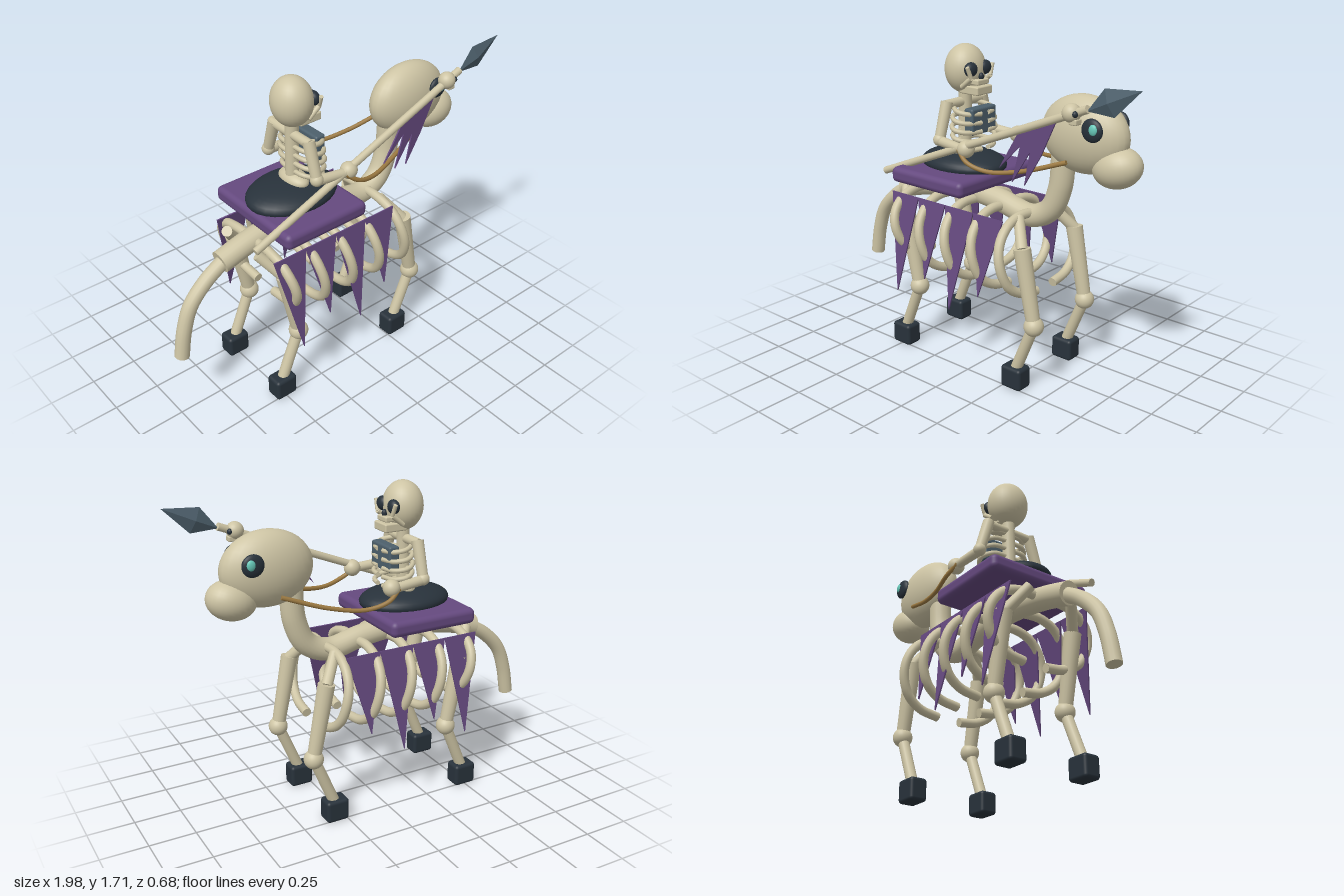
import * as THREE from 'three';
import { RoundedBoxGeometry } from 'three/addons/geometries/RoundedBoxGeometry.js';

const mat = (name, color, extra = {}) => {
  const m = new THREE.MeshStandardMaterial({ color, ...extra });
  m.name = name;
  return m;
};

export function createModel() {
  const bone = mat('bone', 0xcdc4a4);
  const purple = mat('purple cloth', 0x65497f, { side: THREE.DoubleSide });
  const dark = mat('dark leather', 0x28323b);
  const slate = mat('slate metal', 0x4d606c, { flatShading: true });
  const teal = mat('teal glow', 0x66c8b8);
  const brown = mat('brown rein', 0x9c7a42);

  const model = new THREE.Group();
  model.name = 'skeletonRider';
  const group = (name) => {
    const g = new THREE.Group();
    g.name = name;
    model.add(g);
    return g;
  };
  const V = (p) => new THREE.Vector3(...p);
  const add = (parent, name, geo, material, pos = [0, 0, 0]) => {
    const m = new THREE.Mesh(geo, material);
    m.name = name;
    m.position.set(...pos);
    parent.add(m);
    return m;
  };
  const ball = (parent, name, material, pos, rx, ry = rx, rz = rx) => {
    const m = add(parent, name, new THREE.SphereGeometry(1, 28, 20), material, pos);
    m.scale.set(rx, ry, rz);
    return m;
  };
  // straight rod between two points, radius r0 at a and r1 at b
  const rod = (parent, name, material, a, b, r0, r1 = r0) => {
    const d = V(b).sub(V(a));
    const mid = V(a).addScaledVector(d, 0.5);
    const m = add(parent, name, new THREE.CylinderGeometry(r1, r0, d.length(), 16), material, mid.toArray());
    m.quaternion.setFromUnitVectors(new THREE.Vector3(0, 1, 0), d.normalize());
    return m;
  };
  // curved tube with closed flat ends
  const tube = (parent, name, material, pts, r, seg = 28, sides = 14) => {
    const curve = new THREE.CatmullRomCurve3(pts.map(V));
    add(parent, name, new THREE.TubeGeometry(curve, seg, r, sides), material);
    for (const [t, dir] of [[0, -1], [1, 1]]) {
      const c = add(parent, name + 'End', new THREE.CircleGeometry(r, sides), material, curve.getPoint(t).toArray());
      c.quaternion.setFromUnitVectors(new THREE.Vector3(0, 0, 1), curve.getTangent(t).multiplyScalar(dir));
    }
  };
  const box = (parent, name, material, size, pos, r) =>
    add(parent, name, new RoundedBoxGeometry(...size, 3, r), material, pos);
  const plate = (parent, name, pts) =>
    add(parent, name, new THREE.ExtrudeGeometry(new THREE.Shape(pts.map((p) => new THREE.Vector2(...p))),
      { depth: 0.008, bevelEnabled: false }), purple);

  // horse spine, neck and tail
  const horse = group('horse');
  tube(horse, 'spineAndNeck', bone, [[-0.69, 0.845, 0], [-0.5, 0.895, 0], [-0.22, 0.93, 0], [0.02, 0.91, 0],
    [0.23, 0.872, 0], [0.35, 0.93, 0], [0.41, 1.06, 0], [0.425, 1.25, 0]], 0.061, 60, 20);
  tube(horse, 'tail', bone, [[-0.67, 0.845, 0], [-0.78, 0.775, 0], [-0.88, 0.67, 0], [-0.93, 0.54, 0], [-0.96, 0.38, 0]], 0.039);

  // horse head
  ball(horse, 'horseHead', bone, [0.55, 1.355, 0], 0.245, 0.195, 0.122);
  ball(horse, 'snout', bone, [0.74, 1.222, 0], 0.13, 0.102, 0.105).rotation.z = 0.25;
  for (const s of [1, -1]) {
    ball(horse, 'eyeSocket', dark, [0.665, 1.41, s * 0.112], 0.058, 0.057, 0.024);
    ball(horse, 'eyeGlow', teal, [0.68, 1.417, s * 0.127], 0.024, 0.028, 0.014);
  }

  // ribs, one pair per spine station
  [[-0.49, 0.83], [-0.305, 1], [-0.12, 1], [0.065, 1], [0.25, 1]].forEach(([x, k]) => {
    for (const s of [1, -1]) {
      const path = [[0, 0.9, 0.02], [-0.005, 0.9, 0.13], [0, 0.865, 0.23], [0.01, 0.79, 0.295], [0.03, 0.69, 0.314],
        [0.05, 0.58, 0.275], [0.065, 0.52, 0.19], [0.07, 0.498, 0.07]];
      tube(horse, 'rib', bone, path.map(([dx, y, z]) => [x + dx, 0.9 + (y - 0.9) * k, z * s]), 0.025, 30, 12);
    }
  });

  // four legs
  for (const [name, x] of [['frontLeg', 0], ['hindLeg', -0.806]]) {
    for (const s of [1, -1]) {
      const leg = group(name);
      const z = s * 0.22;
      rod(leg, 'shoulderBone', bone, [0.25 + x, 0.9, s * 0.13], [0.345 + x, 0.77, z], 0.028, 0.03);
      rod(leg, 'upperLeg', bone, [0.345 + x, 0.78, z], [0.425 + x, 0.38, z], 0.045, 0.036);
      ball(leg, 'knee', bone, [0.425 + x, 0.38, z], 0.052);
      rod(leg, 'lowerLeg', bone, [0.425 + x, 0.38, z], [0.31 + x, 0.1, z], 0.03);
      box(leg, 'hoof', dark, [0.128, 0.122, 0.098], [0.308 + x, 0.062, z], 0.018);
    }
  }

  // torn cloth hanging on both flanks
  const tips = [[-0.435, 0.375], [-0.245, 0.485], [-0.05, 0.37], [0.135, 0.49]];
  for (const s of [1, -1]) {
    const cloth = group('flankCloth');
    tips.forEach(([tx, ty], i) => {
      const x0 = -0.542 + i * 0.196;
      plate(cloth, 'clothSpike', [[x0, 0], [tx, (ty - 0.905) * 1.015], [x0 + 0.196, 0]]);
    });
    cloth.position.set(0, 0.905, s * 0.242);
    cloth.rotation.x = -s * 0.17;
  }

  // saddle
  const saddle = group('saddle');
  box(saddle, 'saddleBlanket', purple, [0.505, 0.085, 0.61], [-0.243, 1.022, 0], 0.03);
  ball(saddle, 'saddleSeat', dark, [-0.237, 1.078, 0], 0.255, 0.076, 0.193);

  // rider torso
  const rider = group('rider');
  rod(rider, 'riderSpine', bone, [-0.23, 1.12, 0], [-0.225, 1.5, 0], 0.035);
  ball(rider, 'pelvis', bone, [-0.22, 1.15, 0], 0.06, 0.045, 0.1);
  for (let i = 0; i < 5; i++) {
    const y = 1.19 + i * 0.047;
    const w = 0.115 + 0.03 * Math.sin(((i + 0.6) / 5) * Math.PI);
    for (const s of [1, -1]) {
      tube(rider, 'riderRib', bone, [[-0.235, y + 0.015, 0], [-0.225, y + 0.015, s * w * 0.7], [-0.17, y, s * w],
        [-0.11, y - 0.012, s * w * 0.75], [-0.09, y - 0.015, s * 0.025]], 0.013, 20, 8);
    }
  }
  box(rider, 'chestPlate', slate, [0.06, 0.14, 0.19], [-0.12, 1.325, 0], 0.012);
  rod(rider, 'collarBone', bone, [-0.23, 1.41, -0.15], [-0.23, 1.41, 0.15], 0.025);

  // rider arms
  for (const s of [1, -1]) {
    rod(rider, 'upperArm', bone, [-0.23, 1.425, s * 0.135], [-0.23, 1.235, s * 0.195], 0.032, 0.028);
    ball(rider, 'elbow', bone, [-0.23, 1.235, s * 0.195], 0.034);
    rod(rider, 'forearm', bone, [-0.23, 1.23, s * 0.195], [-0.035, 1.215, s * 0.215], 0.027, 0.024);
    ball(rider, 'hand', bone, [-0.035, 1.22, s * 0.207], 0.045);
    tube(rider, 'rein', brown, [[-0.07, 1.215, s * 0.225], [0, 1.165, s * 0.245], [0.12, 1.135, s * 0.225],
      [0.3, 1.16, s * 0.18], [0.53, 1.235, s * 0.122]], 0.012, 30, 8);
  }

  // rider skull
  ball(rider, 'skull', bone, [-0.222, 1.583, 0], 0.106, 0.13, 0.113);
  box(rider, 'jaw', bone, [0.13, 0.045, 0.12], [-0.15, 1.483, 0], 0.008);
  box(rider, 'upperTeeth', bone, [0.07, 0.03, 0.09], [-0.13, 1.525, 0], 0.008);
  for (const s of [1, -1]) {
    ball(rider, 'skullEye', dark, [-0.135, 1.592, s * 0.054], 0.03, 0.038, 0.04);
    rod(rider, 'cheekBone', bone, [-0.18, 1.5, s * 0.075], [-0.115, 1.55, s * 0.075], 0.013);
    rod(rider, 'cheekArch', bone, [-0.115, 1.55, s * 0.075], [-0.12, 1.61, s * 0.098], 0.011);
  }
  ball(rider, 'noseHole', dark, [-0.112, 1.552, 0], 0.014, 0.02, 0.014);

  // spear with a diamond blade and small skull ornament
  const spear = group('spear');
  const z = 0.215;
  rod(spear, 'spearShaft', bone, [-0.625, 1.0, z], [0.71, 1.535, z], 0.02);
  ball(spear, 'ornamentSkull', bone, [0.62, 1.505, z], 0.045);
  box(spear, 'ornamentJaw', bone, [0.045, 0.028, 0.045], [0.64, 1.467, z], 0.006);
  for (const s of [1, -1]) ball(spear, 'ornamentEye', dark, [0.655, 1.507, z + s * 0.02], 0.014, 0.016, 0.016);
  const blade = new THREE.Group();
  blade.name = 'spearBlade';
  add(blade, 'bladeBase', new THREE.ConeGeometry(1, 1, 4), slate, [0, 0.065, 0]).scale.set(0.068, -0.13, 0.023);
  blade.children[0].geometry.rotateX(Math.PI);
  blade.children[0].scale.y = 0.13;
  add(blade, 'bladeTip', new THREE.ConeGeometry(1, 1, 4), slate, [0, 0.22, 0]).scale.set(0.068, 0.18, 0.023);
  blade.position.set(0.705, 1.525, z);
  blade.rotation.z = -1.145;
  spear.add(blade);

  // pennant hanging from the shaft
  plate(spear, 'pennant', [[0.535, 1.45], [0.31, 1.36], [0.195, 1.17], [0.325, 1.3], [0.275, 1.11],
    [0.385, 1.28], [0.352, 1.107], [0.45, 1.27]]).position.z = z - 0.004;

  return model;
}
